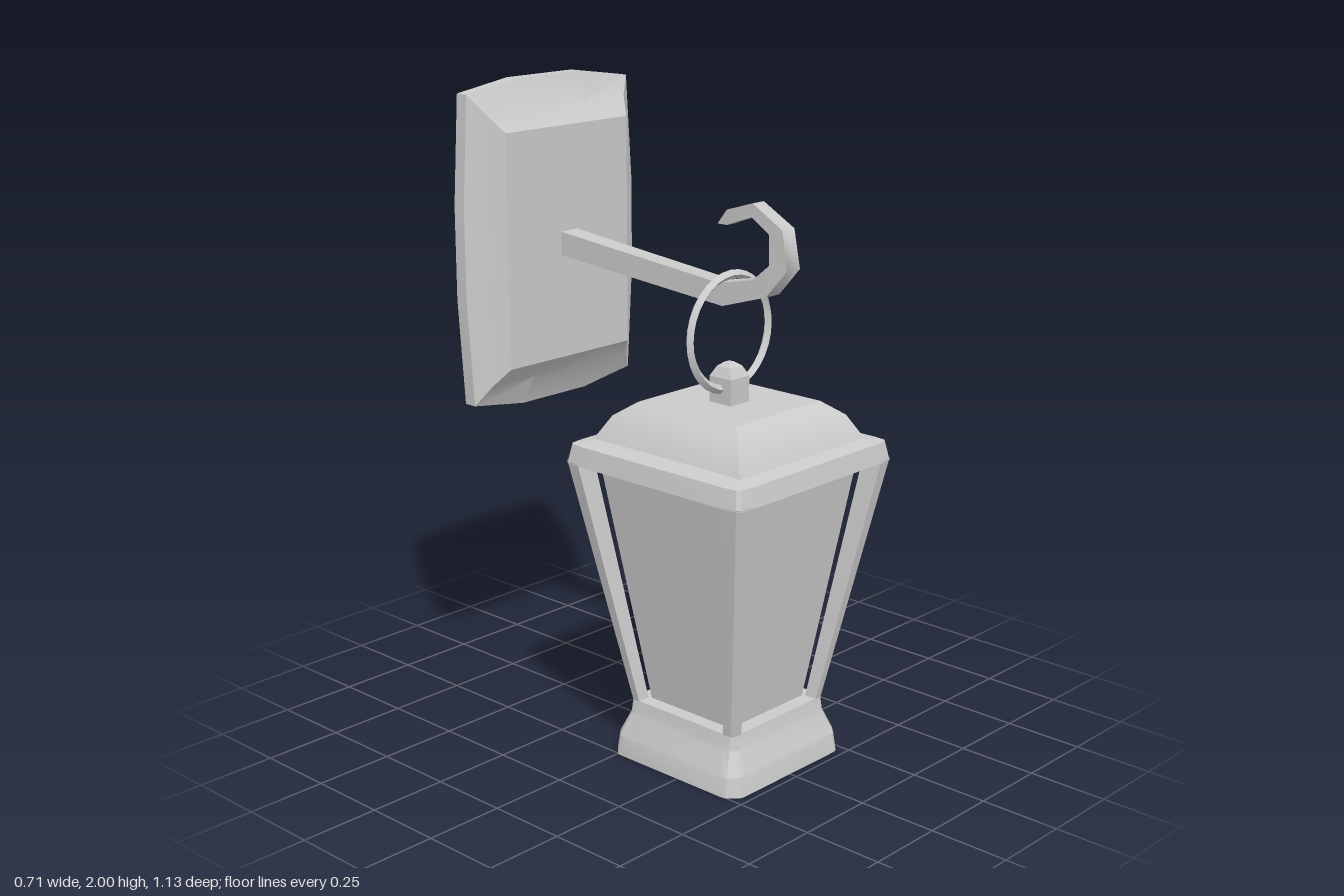
import * as THREE from 'three';
import { toCreasedNormals } from 'three/addons/utils/BufferGeometryUtils.js';

const material = new THREE.MeshStandardMaterial({ color: 0xcccccc });

// Closed solid through rings of equal point count, with fan caps on both ends.
function loft(name, rings, crease = 0.5) {
  const n = rings[0].length;
  const points = rings.flat();
  const last = (rings.length - 1) * n;
  const faces = [];
  for (let r = 0; r < rings.length - 1; r++) {
    for (let i = 0; i < n; i++) {
      const a = r * n + i, b = r * n + (i + 1) % n;
      faces.push([a, b, b + n], [a, b + n, a + n]);
    }
  }
  for (let i = 1; i < n - 1; i++) {
    faces.push([0, i + 1, i], [last, last + i, last + i + 1]);
  }
  // Turn all faces outward according to the sign of the volume.
  const v = points.map((p) => new THREE.Vector3(...p));
  let volume = 0;
  for (const [a, b, c] of faces) volume += v[a].dot(v[b].clone().cross(v[c]));
  if (volume < 0) faces.forEach((f) => f.reverse());

  const geometry = new THREE.BufferGeometry().setFromPoints(v);
  geometry.setIndex(faces.flat());
  const mesh = new THREE.Mesh(toCreasedNormals(geometry, crease), material);
  mesh.name = name;
  return mesh;
}

// The cut corner of a square with half width h, in the +x +z quadrant; c is its sharpness.
const corner = (h, c) => [[h, h * 0.82], [h * 0.985, h * c], [h * c, h * 0.985], [h * 0.82, h]];

// Full square with cut corners at height y.
function softSquare(h, y, c) {
  const ring = [];
  for (let k = 0; k < 4; k++) {
    for (let [x, z] of corner(h, c)) {
      for (let t = 0; t < k; t++) [x, z] = [-z, x];
      ring.push([x, y, z]);
    }
  }
  return ring;
}

const rectangle = (hx, hz, y) => [[hx, y, hz], [-hx, y, hz], [-hx, y, -hz], [hx, y, -hz]];

function createLantern() {
  const lantern = new THREE.Group();
  lantern.name = 'lantern';

  // Foot: upright band, slope and the neck below the panes
  lantern.add(loft('base', [
    softSquare(0.255, 0, 0.87), softSquare(0.247, 0.06, 0.88),
    softSquare(0.215, 0.13, 0.93), softSquare(0.208, 0.175, 0.95),
  ], 0.3));

  // Rim around the top
  lantern.add(loft('rim', [
    softSquare(0.346, 0.93, 0.955), softSquare(0.335, 0.988, 0.955), softSquare(0.28, 1.0, 0.955),
  ]));

  // Domed hip roof
  lantern.add(loft('roof', [
    rectangle(0.28, 0.29, 0.99), rectangle(0.275, 0.286, 1.0),
    rectangle(0.238, 0.246, 1.07), rectangle(0.185, 0.19, 1.112),
  ]));

  // Leaning corner posts
  const levels = [[0.208, 0.17], [0.346, 0.935]];
  for (let k = 0; k < 4; k++) {
    const post = loft('cornerPost', levels.map(([h, y]) =>
      [...corner(h, 0.955), [h * 0.81, h * 0.81]].map(([x, z]) => [x, y, z])));
    post.rotation.y = k * Math.PI / 2;
    lantern.add(post);
  }

  // Tapered glass box standing just inside the posts
  lantern.add(loft('glass', [rectangle(0.163, 0.16, 0.17), rectangle(0.272, 0.266, 0.935)]));

  // Eye on the roof that holds the ring
  lantern.add(loft('eye', [
    rectangle(0.04, 0.042, 1.1), rectangle(0.04, 0.042, 1.19),
    rectangle(0.026, 0.026, 1.22), rectangle(0.01, 0.01, 1.232),
  ], 0.2));

  // Four-sided ring
  const ring = new THREE.Mesh(toCreasedNormals(new THREE.TorusGeometry(0.17, 0.014, 4, 32), 0.5), material);
  ring.name = 'ring';
  ring.position.y = 1.32;
  lantern.add(ring);

  lantern.position.z = 0.22;
  return lantern;
}

// Arm and hook: [outer z, outer y, inner z, inner y, half width]
function createHook() {
  const stations = [
    [-0.46, 1.458, -0.46, 1.532, 0.034],
    [0.217, 1.402, 0.2, 1.468, 0.031],
    [0.38, 1.452, 0.33, 1.494, 0.03],
    [0.456, 1.537, 0.39, 1.545, 0.028],
    [0.435, 1.65, 0.386, 1.632, 0.026],
    [0.323, 1.713, 0.32, 1.673, 0.024],
    [0.223, 1.682, 0.24, 1.645, 0.02],
    [0.186, 1.637, 0.222, 1.637, 0.018],
  ];
  return loft('armAndHook', stations.map(([oz, oy, iz, iy, w]) =>
    [[w, oy, oz], [-w, oy, oz], [-w, iy, iz], [w, iy, iz]]), 1.1);
}

// Wall plate: bulging outline stepping forward to a raised rectangular panel
function createWallPlate() {
  const cy = 1.495;
  // Corners at (hx, hy); the middles of the edges bulge by bx and by.
  const outline = (hx, hy, z, bx = 0, by = 0) => {
    const ring = [];
    const mx = hx * 0.4, my = hy * 0.3;
    const quarter = [[hx + bx, my], [hx, hy], [mx, hy + by]];
    for (const [sx, sy] of [[1, 1], [-1, 1], [-1, -1], [1, -1]]) {
      const part = sx * sy > 0 ? quarter : [...quarter].reverse();
      for (const [x, y] of part) ring.push([sx * x, cy + sy * y, z]);
    }
    return ring;
  };
  return loft('wallPlate', [
    outline(0.334, 0.475, -0.565, 0.022, 0.03),
    outline(0.334, 0.475, -0.523, 0.022, 0.03),
    outline(0.29, 0.417, -0.491),
    outline(0.254, 0.361, -0.444),
  ], 0.35);
}

export function createModel() {
  const model = new THREE.Group();
  model.name = 'wallLantern';
  model.add(createWallPlate(), createHook(), createLantern());
  return model;
}
